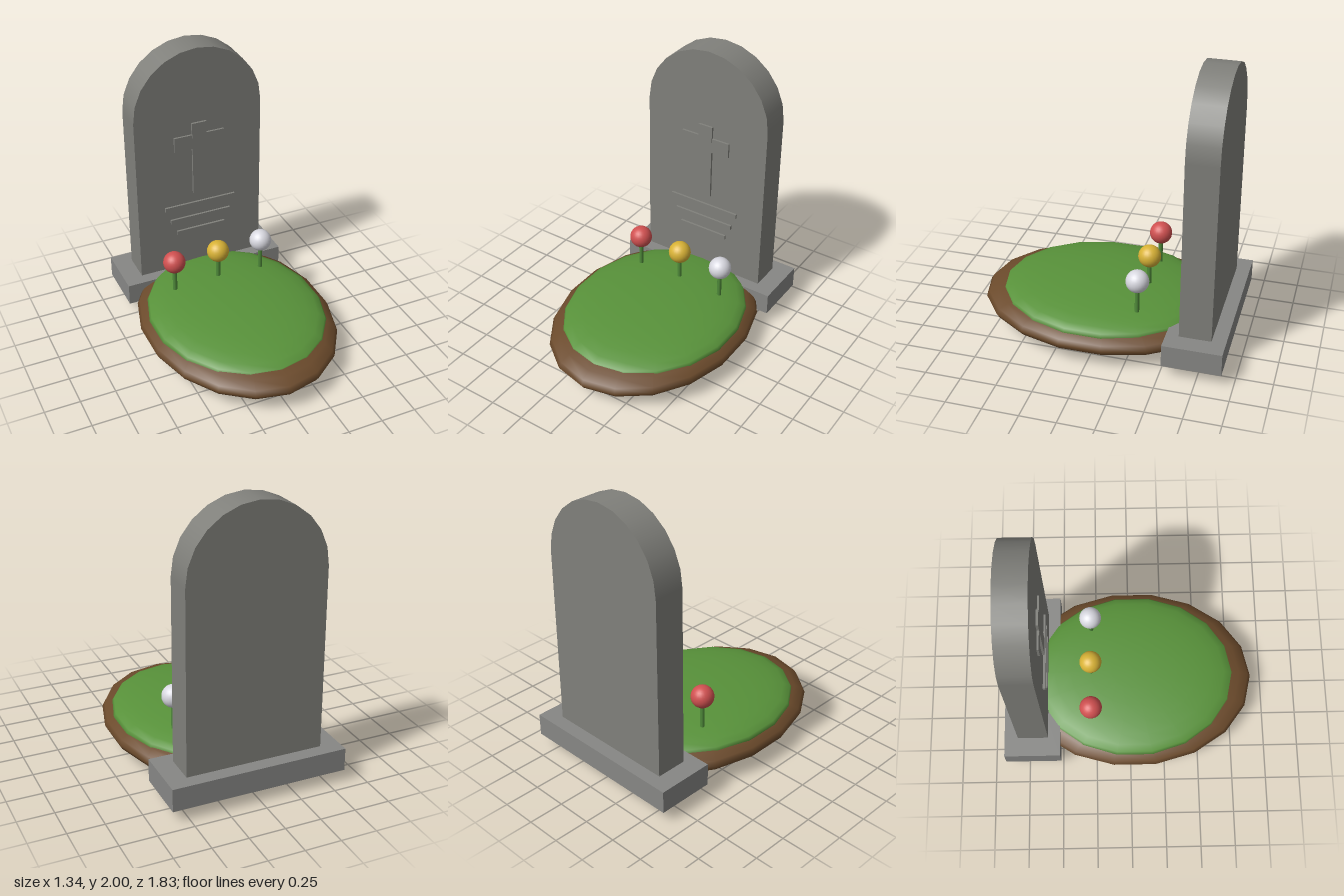
import * as THREE from 'three';

const mat = (name, color) => {
  const m = new THREE.MeshStandardMaterial({ color });
  m.name = name;
  return m;
};

export function createModel() {
  const root = new THREE.Group();
  root.name = 'gravestone';

  const stone = mat('stone grey', 0x80807b);
  const plinth = mat('plinth grey', 0x878785);
  const soil = mat('soil brown', 0x6b4a2b);
  const grass = mat('grass green', 0x58923a);
  const stalk = mat('stem green', 0x4f8a3a);
  const red = mat('red', 0xd05050);
  const yellow = mat('yellow', 0xd8b236);
  const white = mat('white', 0xd8d8e0);

  const add = (name, geometry, material, x, y, z, parent = root) => {
    const mesh = new THREE.Mesh(geometry, material);
    mesh.name = name;
    mesh.position.set(x, y, z);
    parent.add(mesh);
    return mesh;
  };
  const box = (w, h, d) => new THREE.BoxGeometry(w, h, d);

  // Flattened ellipsoids with a corner pointing to the front
  const mound = (rx, ry, rz) =>
    new THREE.SphereGeometry(1, 18, 14).rotateY(Math.PI / 2).scale(rx, ry, rz);
  add('soilMound', mound(0.68, 0.155, 0.88), soil, 0, 0.16, 0.03);
  add('grassMound', mound(0.62, 0.11, 0.75), grass, 0, 0.224, 0.03);

  // Plinth and round-topped slab
  add('plinth', box(1.23, 0.16, 0.405), plinth, 0, 0.17, -0.717);
  add('slab', box(0.96, 1.32, 0.22), stone, 0, 0.86, -0.712);
  const arch = new THREE.CylinderGeometry(0.48, 0.48, 0.22, 12, 1, false, Math.PI / 2, Math.PI);
  add('slabArch', arch.rotateX(Math.PI / 2), stone, 0, 1.52, -0.712);

  // Raised cross
  const cross = new THREE.Group();
  cross.name = 'cross';
  root.add(cross);
  add('crossUpright', box(0.11, 0.57, 0.03), stone, 0, 1.155, -0.6, cross);
  add('crossArm', box(0.38, 0.11, 0.03), stone, 0, 1.295, -0.602, cross);

  // Raised inscription bars
  [[0.55, 0.775], [0.47, 0.662], [0.38, 0.555]].forEach(([w, y], i) =>
    add('inscriptionBar' + (i + 1), box(w, 0.034, 0.03), stone, 0, y, -0.601));

  // Ball flowers on stems
  [[-0.34, red, 'redFlower'], [0, yellow, 'yellowFlower'], [0.34, white, 'whiteFlower']]
    .forEach(([x, material, name]) => {
      const flower = new THREE.Group();
      flower.name = name;
      flower.position.set(x, 0, -0.28);
      root.add(flower);
      add('stem', new THREE.CylinderGeometry(0.016, 0.016, 0.3, 10), stalk, 0, 0.37, 0, flower);
      add('bloom', new THREE.SphereGeometry(0.08, 24, 16), material, 0, 0.54, 0, flower);
    });

  return root;
}
